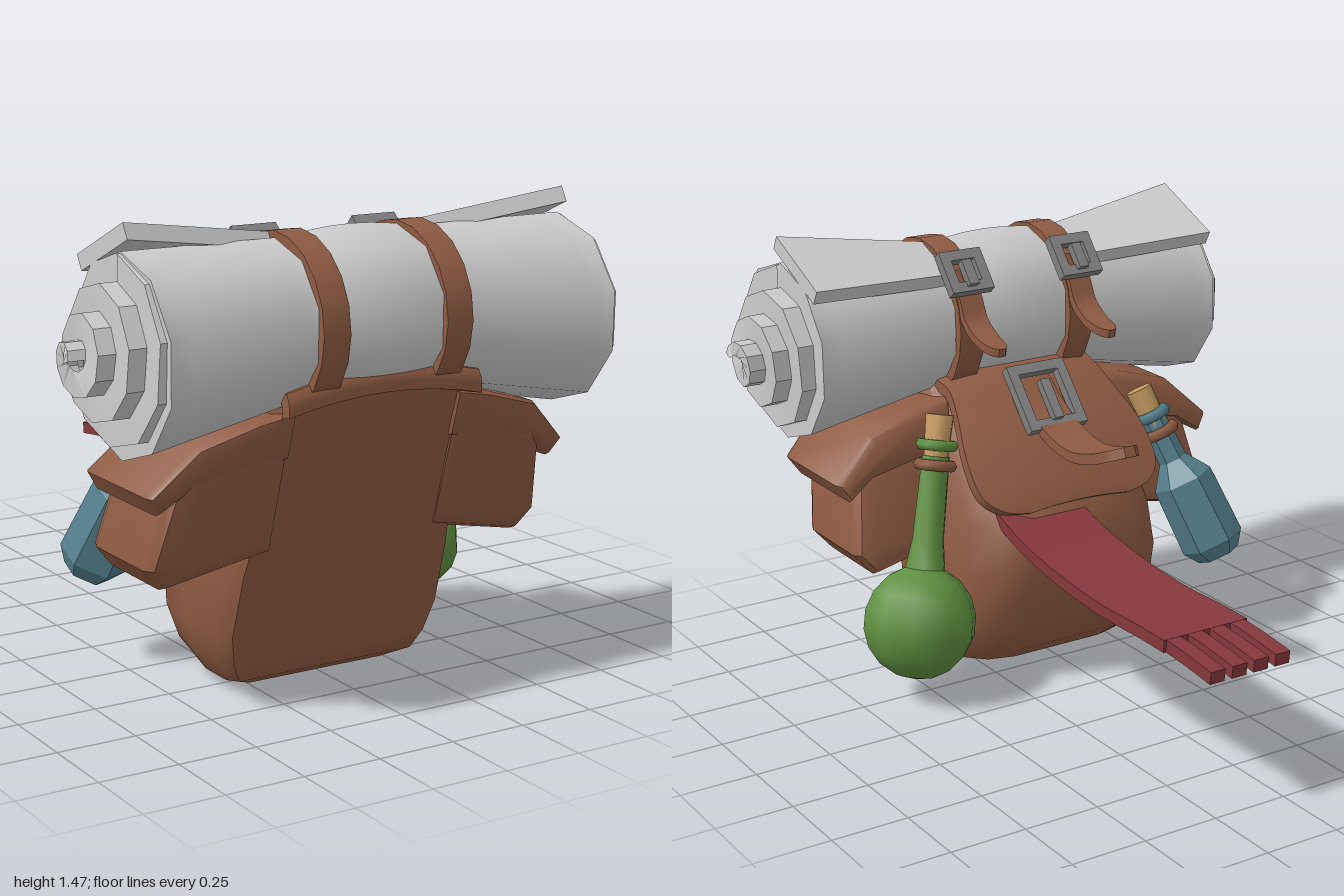
import * as THREE from 'three';
import { toCreasedNormals } from 'three/addons/utils/BufferGeometryUtils.js';

const V = (x, y, z) => new THREE.Vector3(x, y, z);
const mat = (color) => new THREE.MeshStandardMaterial({ color, side: THREE.DoubleSide });
const leather = mat(0x8f5b43), red = mat(0x86383c), green = mat(0x5f8f40), blue = mat(0x55808d),
  cork = mat(0xc79d62), metal = mat(0x808080), cloth = mat(0xcccccc);

function add(parent, name, geo, material, crease = 0.7) {
  const mesh = new THREE.Mesh(toCreasedNormals(geo, crease), material);
  mesh.name = name;
  parent.add(mesh);
  return mesh;
}

// Apply a rule to every vertex
function warp(geo, rule) {
  const p = geo.attributes.position, v = V(0, 0, 0);
  for (let i = 0; i < p.count; i++) {
    v.fromBufferAttribute(p, i);
    const q = rule(v);
    p.setXYZ(i, q.x, q.y, q.z);
  }
  geo.computeVertexNormals();
  return geo;
}

// Band swept through points [z, y, half width]; bow lowers its sides
function band(points, thick, bow = 0, nx = 2, nz = 24) {
  const curve = new THREE.CatmullRomCurve3(points.map(([z, y, w]) => V(w, y, z)));
  return warp(new THREE.BoxGeometry(1, thick, 1, nx, 1, nz), (v) => {
    const p = curve.getPoint(v.z + 0.5), t = curve.getTangent(v.z + 0.5);
    const l = Math.hypot(t.y, t.z) || 1, x = v.x * 2 * p.x;
    return V(x, p.y + (v.y * t.z) / l - bow * x * x, p.z - (v.y * t.y) / l);
  });
}

// Closed loft through rings of equal length, bottom to top
function loft(rings) {
  const n = rings[0].length, index = [], last = (rings.length - 1) * n;
  for (let r = 0; r < rings.length - 1; r++)
    for (let i = 0; i < n; i++) {
      const a = r * n + i, b = r * n + ((i + 1) % n);
      index.push(a, b, b + n, a, b + n, a + n);
    }
  for (let i = 1; i < n - 1; i++) index.push(0, i + 1, i, last, last + i, last + i + 1);
  const geo = new THREE.BufferGeometry().setFromPoints(rings.flat());
  geo.setIndex(index);
  geo.computeVertexNormals();
  return geo;
}

// Extruded outline, centred in depth and leaning with the bag
function leaning(outline, depth, bevel, zMid, yMid) {
  const geo = new THREE.ExtrudeGeometry(new THREE.Shape(outline.map(([x, y]) => new THREE.Vector2(x, y))),
    { depth: depth - 2 * bevel, bevelThickness: bevel, bevelSize: bevel, bevelOffset: -bevel, bevelSegments: 2 });
  return warp(geo, (v) => V(v.x, v.y, v.z - depth / 2 + bevel + zMid + 0.285 * (v.y - yMid)));
}

// Frame with a prong; its face looks along (0, ny, nz)
function buckle(name, w, h, x, y, z, ny, nz) {
  const g = new THREE.Group();
  g.name = name;
  const rect = (P, a, b) => new P([[-a, -b], [a, -b], [a, b], [-a, b]].map(([i, j]) => new THREE.Vector2(i, j)));
  const s = rect(THREE.Shape, w / 2, h / 2);
  s.holes.push(rect(THREE.Path, w / 2 - 0.035, h / 2 - 0.035));
  add(g, 'buckleFrame', new THREE.ExtrudeGeometry(s, { depth: 0.035, bevelEnabled: false }), metal);
  add(g, 'buckleProng', new THREE.BoxGeometry(0.035, h * 0.6, 0.03).translate(0, h * 0.1, 0.04), metal);
  g.position.set(x, y, z);
  g.rotation.x = Math.atan2(-ny, nz);
  return g;
}

// Bottle along an axis from its base centre to its cork top
function bottle(name, base, top, profile, sides, material) {
  const g = new THREE.Group(), axis = top.clone().sub(base), L = axis.length();
  g.name = name;
  const ring = (label, y, m, r) =>
    add(g, label, new THREE.TorusGeometry(r, 0.02, 6, 12).rotateX(Math.PI / 2).translate(0, y, 0), m, 1.2);
  add(g, 'glass', new THREE.LatheGeometry(profile.map(([r, y]) => new THREE.Vector2(r, y)), sides), material,
    sides > 6 ? 0.75 : 0.3);
  add(g, 'cork', new THREE.CylinderGeometry(0.047, 0.04, 0.15, 10).translate(0, L - 0.075, 0), cork);
  ring('neckRim', L - 0.1, material, 0.05);
  ring('neckCord', L - 0.165, leather, 0.052);
  g.position.copy(base);
  g.quaternion.setFromUnitVectors(V(0, 1, 0), axis.normalize());
  return g;
}

// Telescoping spiral at the end of the rolled blanket
function spiralEnd() {
  const N = 32, pts = [], r = (i) => Math.max(0.012, 0.29 - 0.0077 * i), x = (i) => 0.77 + 0.0055 * i;
  const at = (rad, i, px) => V(px, 1.1 + rad * Math.cos((i * Math.PI) / 5), 0.705 + rad * Math.sin((i * Math.PI) / 5));
  const quad = (a, b, c, d) => pts.push(a, b, c, a, c, d);
  for (let i = 0; i < N; i++) {
    const j = i + 1, low = (k) => Math.max(0.75, x(k - 10) - 0.01);
    quad(at(r(i), i, low(i)), at(r(j), j, low(j)), at(r(j), j, x(j)), at(r(i), i, x(i)));
    quad(at(r(i), i, x(i)), at(r(j), j, x(j)), at(r(j + 10), j, x(j)), at(r(i + 10), i, x(i)));
  }
  const geo = new THREE.BufferGeometry().setFromPoints(pts);
  geo.computeVertexNormals();
  return geo;
}

export function createModel() {
  const model = new THREE.Group();
  model.name = 'backpack';

  // Main bag: flat front, rounded back; levels are [y, half width, front z, back z]
  const half = [[0.92, 0], [1, 0.1], [1, 0.45], [0.92, 0.75], [0.76, 0.92], [0.5, 1]];
  const outline = [...half, ...half.map(([x, t]) => [-x, t]).reverse()];
  const levels = [[0.005, 0.26, 0.54, 0.36], [0.04, 0.34, 0.6, 0.26], [0.1, 0.375, 0.622, 0.18], [0.2, 0.4, 0.65, 0.12],
    [0.4, 0.395, 0.705, 0.065], [0.55, 0.375, 0.75, 0.08], [0.68, 0.36, 0.785, 0.17], [0.82, 0.345, 0.825, 0.31],
    [0.95, 0.335, 0.865, 0.46], [0.99, 0.32, 0.87, 0.52]];
  add(model, 'bag', loft(levels.map(([y, w, f, b]) => outline.map(([x, t]) => V(x * w, y, f + (b - f) * t)))), leather);

  // Lid draped over the top and down the back
  add(model, 'lid', band([[0.885, 0.95, 0.335], [0.875, 1.005, 0.335], [0.7, 0.99, 0.32], [0.48, 0.97, 0.29], [0.38, 0.905, 0.31],
    [0.27, 0.81, 0.345], [0.18, 0.7, 0.34], [0.14, 0.64, 0.28], [0.125, 0.61, 0.19]], 0.04, 0.35, 8, 32), leather);

  // Side pockets with their flaps
  for (const s of [1, -1]) {
    const g = new THREE.Group();
    g.name = s > 0 ? 'leftPocket' : 'rightPocket';
    add(g, 'pocket', leaning([[0.28, 0.84], [0.58, 0.83], [0.64, 0.76], [0.69, 0.47], [0.63, 0.4], [0.28, 0.47]],
      0.39, 0.05, 0.55, 0.47), leather);
    add(g, 'pocketFlap', leaning([[0.28, 0.92], [0.4, 0.9], [0.59, 0.845], [0.73, 0.71], [0.69, 0.65], [0.6, 0.71], [0.28, 0.77]],
      0.41, 0.03, 0.635, 0.8), leather);
    g.scale.x = s;
    model.add(g);
  }

  // Rolled blanket, pinched at the straps and flaring to the ends
  const roll = new THREE.CylinderGeometry(1, 1, 1.52, 10, 20).rotateY(Math.PI / 10).rotateZ(-Math.PI / 2);
  add(model, 'blanketRoll', warp(roll, (v) => {
    const a = Math.abs(v.x), t = Math.max(0, (a - 0.22) / 0.54);
    const r = a < 0.22 ? 0.265 - 0.022 * (a / 0.22) ** 2 : 0.243 + 0.052 * t;
    return V(v.x, 1.15 - 0.05 * t + v.y * r, 0.695 + 0.01 * t + v.z * r);
  }), cloth);

  for (const s of [1, -1]) {
    const side = s > 0 ? 'left' : 'right';
    add(model, side + 'RollEnd', spiralEnd(), cloth, 0.3).scale.x = s;

    // Loose edge of the blanket
    const edge = warp(new THREE.BoxGeometry(1, 1, 1), (v) => {
      const u = v.x + 0.5, w = v.z + 0.5, L = THREE.MathUtils.lerp;
      return V(L(0.26, 0.76, u), L(L(1.31, 1.33, u), L(1.385, 1.455, u), w) + v.y * 0.045,
        L(L(0.5, 0.46, u), L(0.68, 0.735, u), w) - v.y * 0.025);
    });
    add(model, side + 'BlanketEdge', edge, cloth).scale.x = s;

    // Strap around the roll, its tail and buckle
    const loop = [[0.235, -0.045], [0.267, -0.045], [0.267, 0.045], [0.235, 0.045], [0.235, -0.045]];
    const strap = new THREE.LatheGeometry(loop.map(([r, y]) => new THREE.Vector2(r, y)), 20);
    add(model, side + 'RollStrap', strap.rotateZ(-Math.PI / 2).translate(0.212 * s, 1.147, 0.692), leather);
    add(model, side + 'StrapTail', band([[0.49, 1.34, 0.04], [0.445, 1.25, 0.042], [0.41, 1.185, 0.042], [0.34, 1.14, 0.04],
      [0.265, 1.122, 0.03], [0.24, 1.118, 0.012]], 0.028).translate(0.212 * s, 0, 0), leather);
    model.add(buckle(side + 'StrapBuckle', 0.155, 0.15, 0.212 * s, 1.325, 0.485, 0.64, -0.77));
  }

  // Closing strap with its big buckle
  add(model, 'closingStrap', band([[0.42, 0.95, 0.068], [0.34, 0.885, 0.07], [0.22, 0.82, 0.07], [0.08, 0.79, 0.07],
    [-0.05, 0.812, 0.07], [-0.14, 0.845, 0.058], [-0.18, 0.862, 0.02]], 0.035), leather);
  model.add(buckle('closingBuckle', 0.22, 0.24, 0, 0.905, 0.335, 0.66, -0.75));

  // Scarf trailing from under the lid, with a fringe
  const scarf = new THREE.Group();
  scarf.name = 'scarf';
  add(scarf, 'scarfCloth', band([[0.27, 0.65, 0.15], [0.18, 0.595, 0.15], [0.02, 0.54, 0.152], [-0.2, 0.5, 0.152],
    [-0.45, 0.48, 0.152], [-0.65, 0.482, 0.152], [-0.78, 0.48, 0.152]], 0.04).translate(0.135, 0, 0), red);
  for (let i = 0; i < 4; i++)
    add(scarf, 'fringe', band([[-0.77, 0.48, 0.026], [-0.88, 0.472, 0.026], [-1, 0.458, 0.026]], 0.04, 0, 1, 4)
      .translate(0.018 + 0.078 * i, 0, 0), red);
  model.add(scarf);

  // Round flask and angular bottle hanging at the back corners
  const flask = [];
  for (let i = 0; i <= 8; i++) {
    const a = (i / 8) * 2.78;
    flask.push([0.187 * Math.sin(a), 0.187 - 0.187 * Math.cos(a)]);
  }
  flask.push([0.052, 0.46], [0.046, 0.73], [0, 0.73]);
  model.add(bottle('roundFlask', V(0.593, 0.089, 0.188), V(0.388, 0.915, 0.345), flask, 10, green));
  model.add(bottle('angularBottle', V(-0.575, 0.3, 0.115), V(-0.392, 0.87, 0.345),
    [[0, 0], [0.075, 0], [0.11, 0.05], [0.105, 0.29], [0.05, 0.37], [0.045, 0.54], [0, 0.54]], 6, blue));

  return model;
}
